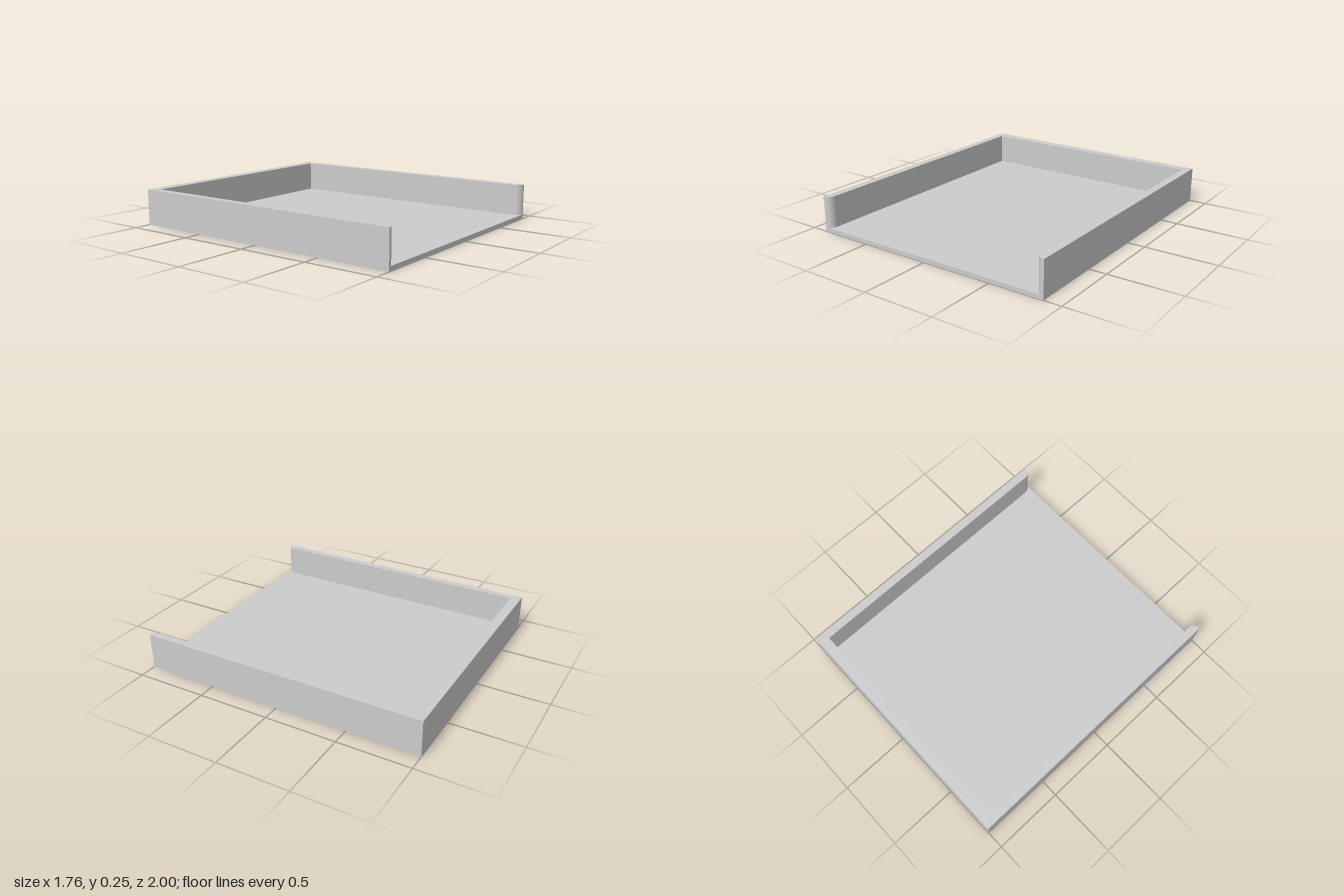
import * as THREE from 'three';

const HALF_W = 0.88, HALF_D = 1, HEIGHT = 0.25, FLOOR = 0.03;
const INNER_X = 0.825, INNER_BACK = 0.93, ROUND = 0.05;

// U-shaped wall plan (shape y = -z), open at the front with rounded inner ends
function wallPlan() {
  const s = new THREE.Shape();
  const cx = INNER_X + ROUND, cy = -HALF_D + ROUND;
  s.moveTo(HALF_W, -HALF_D);
  s.lineTo(HALF_W, HALF_D);
  s.lineTo(-HALF_W, HALF_D);
  s.lineTo(-HALF_W, -HALF_D);
  s.lineTo(-cx, -HALF_D);
  s.absarc(-cx, cy, ROUND, -Math.PI / 2, 0, false);
  s.lineTo(-INNER_X, INNER_BACK);
  s.lineTo(INNER_X, INNER_BACK);
  s.lineTo(INNER_X, cy);
  s.absarc(cx, cy, ROUND, Math.PI, Math.PI * 1.5, false);
  s.closePath();
  return s;
}

export function createModel() {
  const group = new THREE.Group();
  group.name = 'openTray';
  const material = new THREE.MeshStandardMaterial({ color: 0xcccccc });

  // Thin base plate
  const floor = new THREE.Mesh(new THREE.BoxGeometry(HALF_W * 2, FLOOR, HALF_D * 2), material);
  floor.name = 'floor';
  floor.position.y = FLOOR / 2;

  // Side and back walls in one piece
  const wallGeometry = new THREE.ExtrudeGeometry(wallPlan(), {
    depth: HEIGHT - FLOOR, bevelEnabled: false, curveSegments: 10,
  });
  wallGeometry.rotateX(-Math.PI / 2);
  const walls = new THREE.Mesh(wallGeometry, material);
  walls.name = 'walls';
  walls.position.y = FLOOR;

  group.add(floor, walls);
  return group;
}
